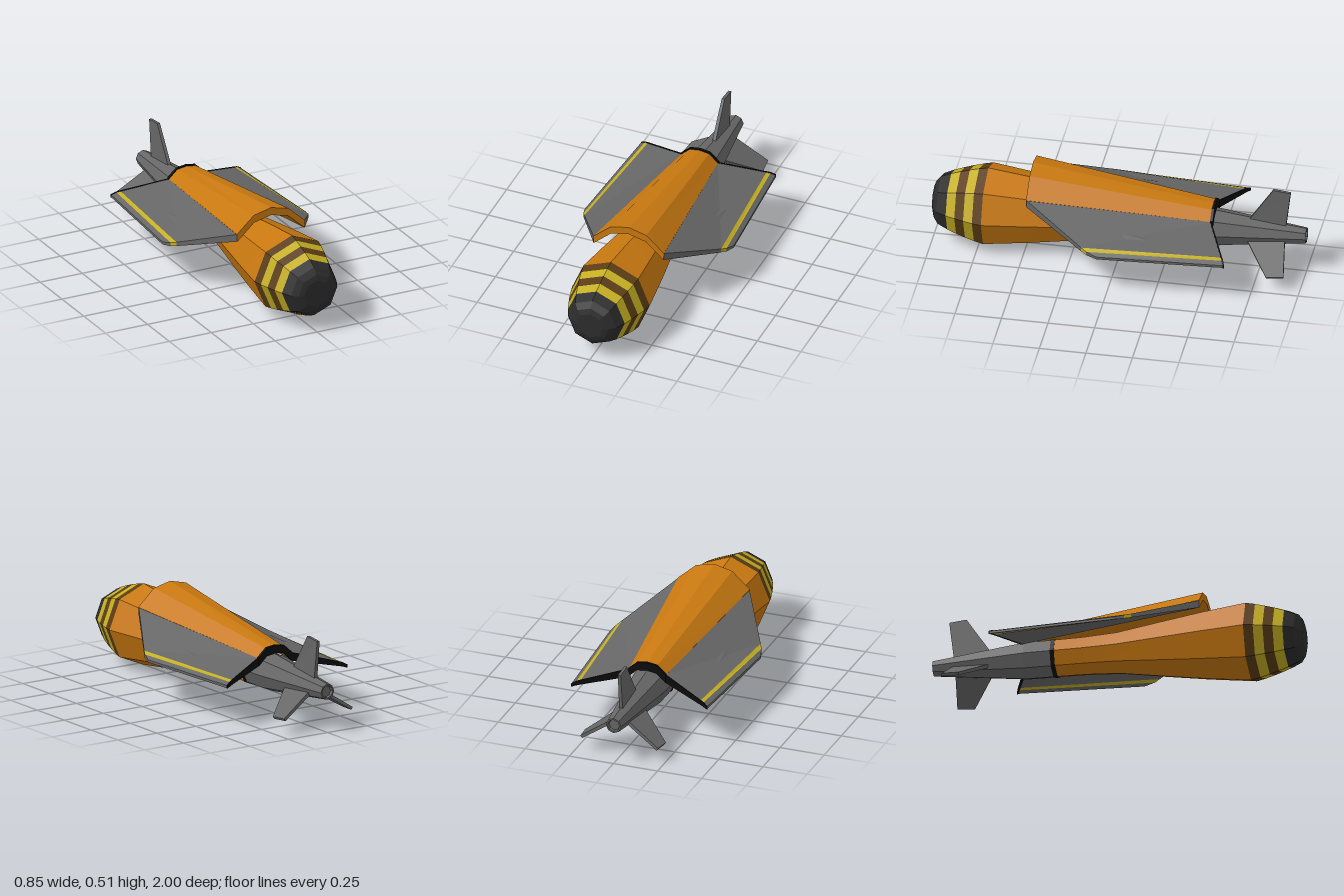
import * as THREE from 'three';
import { toCreasedNormals } from 'three/addons/utils/BufferGeometryUtils.js';

const AXIS_Y = 0.226;
const paint = (color, extra = {}) =>
  new THREE.MeshStandardMaterial({ color, flatShading: true, side: THREE.DoubleSide, ...extra });
const ORANGE = paint(0xc87810);
const BODY = paint(0xc87810, { flatShading: false });
const BROWN = paint(0x5a3c14);
const YELLOW = paint(0xc4ae22);
const GREY = paint(0x666666);
const DARK = paint(0x2c2c2c);
const BLACK = paint(0x0c0c0c);

function add(parent, name, geometry, material) {
  const mesh = new THREE.Mesh(geometry, material);
  mesh.name = name;
  parent.add(mesh);
  return mesh;
}

// Eight-sided hull section along z, from [z, radius] pairs running forward
function hull(profile) {
  const geo = new THREE.LatheGeometry(profile.map(([z, r]) => new THREE.Vector2(r, z)), 8);
  geo.rotateX(Math.PI / 2).translate(0, AXIS_Y, 0);
  return toCreasedNormals(geo, 0.6);
}

// Skin closed loops of points and cap both ends; sx = -1 mirrors the result
function loft(sections, sx = 1) {
  const pos = [];
  const n = sections[0].length;
  const tri = (a, b, c) => {
    for (const p of sx > 0 ? [a, b, c] : [a, c, b]) pos.push(p[0] * sx, p[1], p[2]);
  };
  const quad = (a, b, c, d) => { tri(a, b, c); tri(a, c, d); };
  for (let s = 0; s < sections.length - 1; s++) {
    const p = sections[s], q = sections[s + 1];
    for (let i = 0; i < n; i++) quad(p[i], p[(i + 1) % n], q[(i + 1) % n], q[i]);
  }
  const first = sections[0], last = sections[sections.length - 1];
  for (let i = 0; i < Math.floor((n - 1) / 2); i++) {
    const j = n - 1 - i;
    quad(last[i], last[i + 1], last[j - 1], last[j]);
    quad(first[j], first[j - 1], first[i + 1], first[i]);
  }
  const geo = new THREE.BufferGeometry();
  geo.setAttribute('position', new THREE.Float32BufferAttribute(pos, 3));
  geo.computeVertexNormals();
  return geo;
}

// Arch cross-section: half of the outer line from the edge to the crown, plus a thickness
function arch(z, half, thickness) {
  const outer = [...half, ...half.slice(0, -1).reverse().map(([x, y]) => [-x, y])];
  const inner = outer.map(([x, y]) => [x * 0.985, y - thickness]).reverse();
  return [...outer, ...inner].map(([x, y]) => [x, y, z]);
}

// Chordwise wing section from its leading and trailing top corners
const rib = (lead, trail, t) => [
  lead, [lead[0], lead[1] - t, lead[2]], [trail[0], trail[1] - t, trail[2]], trail,
];

function wing(sx, name) {
  const group = new THREE.Group();
  group.name = name;
  const ribs = [
    rib([0.2, 0.4, 0.47], [0.105, 0.318, -0.5], 0.042),
    rib([0.392, 0.264, 0.14], [0.34, 0.256, -0.601], 0.022),
    rib([0.41, 0.252, 0.108], [0.36, 0.25, -0.61], 0.02),
    rib([0.427, 0.237, 0.05], [0.385, 0.236, -0.62], 0.014),
  ];
  [['wingPanel', GREY], ['wingStripe', YELLOW], ['wingTip', GREY]].forEach(([part, mat], i) =>
    add(group, part, loft([ribs[i], ribs[i + 1]], sx), mat));
  // Black strip along the trailing edge
  const edges = ribs.map(([, , low, top]) => {
    const back = ([x, y, z], dy) => [x, y + dy, z - 0.008];
    return [[top[0], top[1] + 0.002, top[2]], [low[0], low[1] - 0.002, low[2]], back(low, -0.002), back(top, 0.002)];
  });
  add(group, 'wingTrailingEdge', loft(edges, sx), BLACK);
  return group;
}

export function createModel() {
  const model = new THREE.Group();
  model.name = 'glider';

  // Nose, striped collar, main body and tail cone
  add(model, 'nose', hull([[0.91, 0.163], [0.965, 0.138], [0.99, 0.105], [1, 0.075], [1, 0]]), DARK);
  const stripes = [[0.71, 0.222], [0.76, 0.211], [0.81, 0.197], [0.86, 0.181], [0.91, 0.163]];
  for (let i = 0; i < 4; i++) {
    add(model, 'collarStripe', hull([stripes[i], stripes[i + 1]]), i % 2 ? YELLOW : BROWN);
  }
  add(model, 'body', hull([
    [-0.34, 0.105], [-0.18, 0.107], [0, 0.117], [0.25, 0.157], [0.47, 0.191], [0.71, 0.222],
  ]), BODY);
  add(model, 'jointRing', hull([[-0.355, 0.1], [-0.355, 0.108], [-0.333, 0.108], [-0.333, 0.1]]), BLACK);
  add(model, 'tailCone', hull([
    [-0.985, 0], [-0.985, 0.03], [-1, 0.034], [-1, 0.043], [-0.5, 0.104], [-0.34, 0.105],
  ]), GREY);

  // Arched cowl, open underneath, with a black rear rim
  const rear = [[0.105, 0.318], [0.055, 0.364], [0, 0.372]];
  const front = [[0.203, 0.4], [0.102, 0.49], [0, 0.514]];
  add(model, 'cowl', loft([arch(-0.5, rear, 0.035), arch(0.47, front, 0.043)]), ORANGE);
  const rim = rear.map(([x, y]) => [x * 1.02, y + 0.005]);
  add(model, 'cowlRim', loft([arch(-0.515, rim, 0.045), arch(-0.5, rim, 0.045)]), BLACK);

  model.add(wing(1, 'leftWing'), wing(-1, 'rightWing'));

  // Three tail fins around the tail cone
  const finSection = (yFront, yRear, zFront, zRear, t) => [
    [t, yFront, zFront], [t, yRear, zRear], [-t, yRear, zRear], [-t, yFront, zFront],
  ];
  const finGeometry = loft([
    finSection(0.03, 0.03, -0.667, -0.888, 0.01),
    finSection(0.267, 0.257, -0.822, -0.915, 0.008),
  ]);
  [['topFin', 0], ['leftFin', -123], ['rightFin', 123]].forEach(([name, degrees]) => {
    const fin = add(model, name, finGeometry, GREY);
    fin.position.y = AXIS_Y;
    fin.rotation.z = THREE.MathUtils.degToRad(degrees);
  });

  return model;
}
